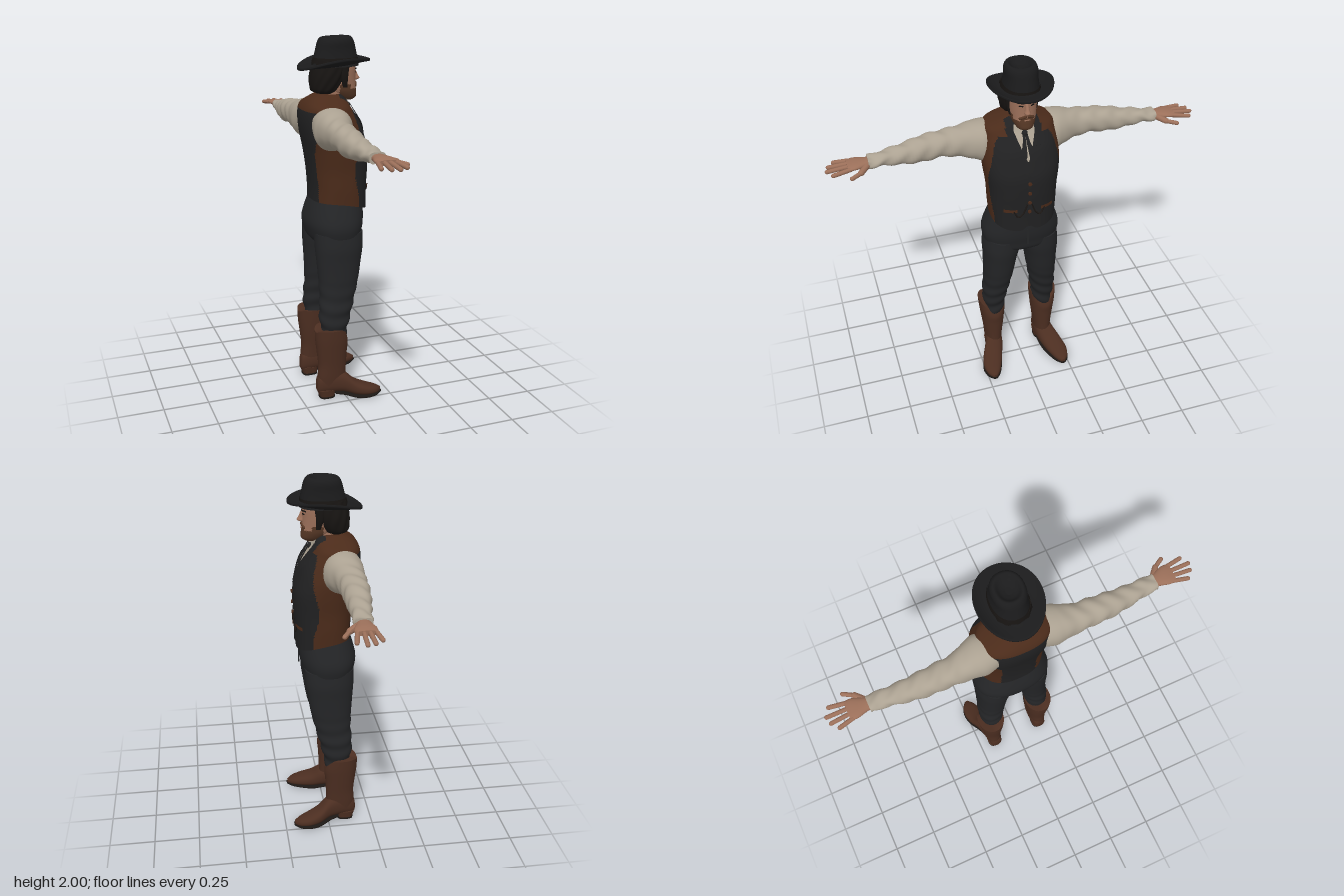
import * as THREE from 'three';

const mat = (name, color, side = THREE.FrontSide) => {
  const m = new THREE.MeshStandardMaterial({ color, side });
  m.name = name;
  return m;
};

// Smoothly resample a list of sections
function dense(secs, k) {
  const out = [], at = i => secs[Math.max(0, Math.min(secs.length - 1, i))];
  for (let i = 0; i < secs.length - 1; i++) for (let s = 0; s < k; s++) {
    const t = s / k;
    out.push(secs[i].map((b, c) => {
      const a = at(i - 1)[c], d = at(i + 1)[c], e = at(i + 2)[c];
      return b + 0.5 * t * (d - a + t * (2 * a - 5 * b + 4 * d - e + t * (3 * (b - d) + e - a)));
    }));
  }
  out.push(secs[secs.length - 1]);
  return out;
}

const PUT = { y: (t, a, b) => [a, t, b], z: (t, a, b) => [b, a, t], x: (t, a, b) => [t, b, a] };
const spow = (v, p) => Math.sign(v) * Math.abs(v) ** p;

// Loft rounded sections [t, a0, a1, b0, b1] along an axis; pick(x,y,z) chooses a material index
function loft(secs, { axis = 'y', seg = 32, k = 4, n = 2.2, caps = true, rule, pick } = {}) {
  const rows = dense(secs, k), pos = [], groups = [[], [], []];
  for (const [t, a0, a1, b0, b1] of rows) for (let j = 0; j < seg; j++) {
    const th = j / seg * Math.PI * 2;
    const a = (a0 + a1) / 2 + (a1 - a0) / 2 * spow(Math.cos(th), 2 / n);
    const b = (b0 + b1) / 2 + (b1 - b0) / 2 * spow(Math.sin(th), 2 / n);
    const p = PUT[axis](t, a, b);
    pos.push(...(rule ? rule(p, th) : p));
  }
  const tri = (...v) => {
    const c = [0, 1, 2].map(q => (pos[v[0] * 3 + q] + pos[v[1] * 3 + q] + pos[v[2] * 3 + q]) / 3);
    groups[pick ? pick(...c) : 0].push(...v);
  };
  for (let i = 0; i < rows.length - 1; i++) for (let j = 0; j < seg; j++) {
    const a = i * seg + j, b = i * seg + (j + 1) % seg;
    tri(a, a + seg, b); tri(b, a + seg, b + seg);
  }
  if (caps) for (const i of [0, rows.length - 1]) {
    const base = pos.length / 3, c = [0, 0, 0];
    for (let j = 0; j < seg; j++) for (let q = 0; q < 3; q++) {
      const v = pos[(i * seg + j) * 3 + q];
      pos.push(v); c[q] += v / seg;
    }
    pos.push(...c);
    for (let j = 0; j < seg; j++) {
      const a = base + j, b = base + (j + 1) % seg;
      i ? tri(a, base + seg, b) : tri(b, base + seg, a);
    }
  }
  const g = new THREE.BufferGeometry();
  g.setAttribute('position', new THREE.Float32BufferAttribute(pos, 3));
  g.setIndex(groups.flat());
  if (pick) groups.reduce((s, q, m) => (g.addGroup(s, q.length, m), s + q.length), 0);
  g.computeVertexNormals();
  return g;
}

// Height of a lofted body's front surface at (y, z)
function frontX(secs, y, z, n) {
  const r = dense(secs, 4);
  let i = 0;
  while (i < r.length - 2 && r[i + 1][0] < y) i++;
  const f = Math.max(0, Math.min(1, (y - r[i][0]) / (r[i + 1][0] - r[i][0])));
  const s = r[i].map((v, c) => v + (r[i + 1][c] - v) * f);
  const w = Math.min(1, Math.abs(z / s[4]));
  return (s[1] + s[2]) / 2 + (s[2] - s[1]) / 2 * (1 - w ** n) ** (1 / n);
}

// Thin cloth panel lying on a body front; rows are [y, z0, z1], from bottom to top
function panel(body, n, rows, lift) {
  const r = dense(rows, 4), w = 8, g = new THREE.PlaneGeometry(1, 1, w, r.length - 1), p = g.attributes.position;
  for (let i = 0; i < r.length; i++) for (let j = 0; j <= w; j++) {
    const [y, z0, z1] = r[r.length - 1 - i], z = z1 + (z0 - z1) * j / w;
    p.setXYZ(i * (w + 1) + j, frontX(body, y, z, n) + lift, y, z);
  }
  g.computeVertexNormals();
  return g;
}

function mirrored(geo) {
  const g = geo.clone().scale(1, 1, -1), ix = g.index;
  for (let i = 0; i < ix.count; i += 3) {
    const a = ix.getX(i);
    ix.setX(i, ix.getX(i + 1)); ix.setX(i + 1, a);
  }
  g.computeVertexNormals();
  return g;
}

// Tapered finger between two points
function finger(p, q, r) {
  const a = new THREE.Vector3(...p), b = new THREE.Vector3(...q), d = b.clone().sub(a);
  const g = new THREE.CapsuleGeometry(r, d.length() - r, 4, 10);
  g.applyQuaternion(new THREE.Quaternion().setFromUnitVectors(new THREE.Vector3(0, 1, 0), d.normalize()));
  return g.translate(...a.add(b).multiplyScalar(0.5).toArray());
}

export function createModel() {
  const root = new THREE.Group();
  const D = THREE.DoubleSide;
  const hatM = mat('hat felt', 0x1b1b1c), hairM = mat('dark hair', 0x171412), skin = mat('skin', 0x9c705a);
  const beardM = mat('beard', 0x573826), shirt = mat('shirt linen', 0xaca292, D), black = mat('vest black', 0x212122, D);
  const leather = mat('vest leather', 0x4b2b1a), trouser = mat('trouser cloth', 0x242527);
  const bootM = mat('boot leather', 0x4c2e21), sole = mat('sole', 0x1d1815);
  const add = (name, geo, m) => {
    const o = new THREE.Mesh(geo, m);
    o.name = name; root.add(o);
  };
  const pair = (name, geo, m) => { add('left ' + name, geo, m); add('right ' + name, mirrored(geo), m); };
  const box = (w, h, d, x, y, z) => new THREE.BoxGeometry(w, h, d).translate(x, y, z);
  const clamp = v => Math.max(0, Math.min(1, v));

  // Vest body: black front and back, leather sides and shoulder yoke
  const vest = [[1.115, -.14, .16, -.178, .178], [1.2, -.14, .16, -.184, .184], [1.3, -.148, .166, -.188, .188],
    [1.4, -.162, .165, -.2, .2], [1.48, -.178, .145, -.205, .205], [1.55, -.188, .122, -.197, .197],
    [1.61, -.187, .085, -.19, .19], [1.645, -.175, .062, -.178, .178], [1.675, -.15, .05, -.115, .115],
    [1.7, -.11, .03, -.07, .07]];
  const VN = 2.5;
  add('vest', loft(vest, { n: VN, seg: 96, k: 8,
    rule: ([x, y, z]) => {
      const low = clamp((1.25 - y) / .135), front = clamp((x + .1) / .26);
      return [x, y - low * (.058 * front * front - .015 - .035 * clamp(1 - Math.abs(z) / .04) * (x > 0)), z];
    },
    pick: (x, y, z) => {
      const az = Math.abs(z);
      if (y > 1.62) return x < 0 || az > .09 ? 1 : 0;
      return az > .1 && x > -.148 && x < .065 + .015 * Math.sin(y * 18) ? 1 : 0;
    } }), [black, leather]);

  // Shirt front, lapels, necktie, placket and buttons
  add('shirt front', panel(vest, VN, [[1.5, -.004, .004], [1.58, -.034, .034], [1.64, -.055, .055], [1.675, -.05, .05]], .004), shirt);
  pair('lapel', panel(vest, VN, [[1.43, 0, .012], [1.52, .012, .07], [1.57, .032, .1], [1.58, .035, .078], [1.66, .06, .1]], .009), black);
  pair('necktie end', panel(vest, VN, [[1.52, .008, .014], [1.55, .004, .032], [1.6, .001, .018], [1.64, 0, .012]], .011), black);
  add('necktie knot', new THREE.SphereGeometry(.016, 12, 8).translate(.075, 1.632, 0), black);
  add('placket', panel(vest, VN, [[1.1, -.012, .012], [1.28, -.012, .012], [1.43, -.01, .01]], .004), black);
  for (const y of [1.2, 1.26, 1.32, 1.38])
    add('button', new THREE.CylinderGeometry(.01, .01, .008, 12).rotateZ(Math.PI / 2).translate(frontX(vest, y, 0, VN) + .007, y, 0), leather);
  pair('pocket welt', panel(vest, VN, [[1.2, .065, .135], [1.22, .065, .135]], .006), leather);
  pair('watch chain', new THREE.TubeGeometry(new THREE.CatmullRomCurve3([[1.25, .012], [1.19, .035], [1.17, .06], [1.21, .085]]
    .map(([y, z]) => new THREE.Vector3(frontX(vest, y, z, VN) + .006, y, z))), 16, .004, 6), sole);

  // Sleeves with soft folds
  pair('sleeve', loft([[.13, 1.46, 1.65, -.17, .01], [.19, 1.43, 1.65, -.18, .03], [.24, 1.445, 1.642, -.175, .015], [.32, 1.462, 1.62, -.168, -.018],
    [.41, 1.475, 1.608, -.165, -.026], [.5, 1.463, 1.598, -.16, -.03], [.6, 1.47, 1.575, -.145, -.033],
    [.7, 1.486, 1.56, -.127, -.034], [.745, 1.488, 1.55, -.122, -.03], [.785, 1.49, 1.55, -.12, -.03]],
    { axis: 'z', k: 6, rule: ([x, y, z], th) => {
      const f = .004 * Math.sin(z * 62 + 2 * Math.sin(th * 2)) * clamp((z - .22) * 8);
      return [x + f * Math.sin(th), y + f * Math.cos(th), z];
    } }), shirt);

  // Hands
  pair('palm', loft([[.76, 1.498, 1.54, -.105, -.042], [.8, 1.502, 1.541, -.108, -.032], [.85, 1.508, 1.54, -.122, -.014], [.89, 1.508, 1.534, -.12, -.014]],
    { axis: 'z', seg: 20 }), skin);
  [[-.11, .87, -.128, .957], [-.083, .88, -.09, .988], [-.055, .88, -.052, .998], [-.027, .87, -.008, .972]].forEach(([x, z, x2, z2]) =>
    pair('finger', finger([x, 1.521, z], [x2, 1.512, z2], .0115), skin));
  pair('thumb', finger([-.045, 1.517, .79], [.005, 1.507, .835], .016), skin);
  pair('thumb tip', finger([0, 1.507, .83], [.034, 1.503, .885], .0115), skin);

  // Trousers
  add('trouser seat', loft([[.875, -.1, .07, -.1, .1], [.91, -.145, .118, -.19, .19], [.96, -.163, .13, -.212, .212], [1.01, -.17, .14, -.213, .213],
    [1.07, -.158, .143, -.195, .195], [1.14, -.135, .14, -.17, .17]], { n: 2.4, seg: 40 }), trouser);
  pair('trouser leg', loft([[.35, -.12, .01, .1, .2], [.42, -.13, .02, .088, .208], [.5, -.138, .04, .078, .214], [.6, -.132, .066, .06, .21],
    [.7, -.135, .09, .042, .21], [.8, -.142, .106, .026, .211], [.88, -.148, .118, .008, .214], [.96, -.15, .12, .002, .205]],
    { k: 8, rule: ([x, y, z], th) => {
      const f = .004 * Math.sin(y * 70 + 2 * Math.sin(th)) * clamp((.72 - y) * 5);
      return [x + f * Math.cos(th), y, z + f * Math.sin(th)];
    } }), trouser);
  add('trouser fly', box(.006, .1, .012, .141, 1.01, 0), trouser);

  // Boots: V-cut shaft, turned-out foot, sole and heel
  pair('boot shaft', loft([[.07, -.15, .01, .11, .2], [.13, -.154, .008, .107, .206], [.2, -.15, .01, .1, .212], [.28, -.158, .014, .09, .222],
    [.36, -.166, .018, .083, .232], [.425, -.168, .01, .079, .237]],
    { rule: ([x, y, z], th) => {
      const up = clamp((y - .28) / .145);
      return [x, y - up * (.062 * Math.max(0, Math.cos(th)) ** 4 + .02 * Math.max(0, -Math.cos(th)) ** 8), z];
    } }), bootM);
  pair('boot foot', loft([[-.16, .135, .172, .045, .1], [-.145, .118, .188, .03, .14], [-.08, .106, .204, .028, .165], [-.01, .112, .222, .026, .15],
    [.05, .132, .25, .012, .1], [.11, .153, .263, .008, .073], [.165, .178, .252, .009, .055], [.198, .205, .225, .014, .038]],
    { axis: 'x', n: 2.4 }), bootM);
  pair('boot sole', loft([[-.06, .118, .2, .022, .034], [-.01, .12, .22, .016, .03], [.05, .132, .252, .002, .02], [.11, .152, .266, 0, .017],
    [.165, .176, .255, .002, .018], [.202, .203, .227, .01, .022]], { axis: 'x', n: 4 }), sole);
  pair('boot heel', loft([[.008, -.145, -.06, .118, .192], [.05, -.158, -.05, .112, .198]], { n: 3, k: 1 }), bootM);
  pair('heel tip', loft([[0, -.147, -.058, .116, .194], [.01, -.147, -.058, .116, .194]], { n: 3, k: 1 }), sole);

  // Neck and open collar
  add('neck', loft([[1.6, -.08, .05, -.06, .06], [1.66, -.07, .056, -.054, .054], [1.73, -.06, .06, -.053, .053]]), skin);
  add('collar', loft([[1.645, -.105, .065, -.08, .08], [1.668, -.1, .07, -.076, .076], [1.69, -.095, .062, -.068, .068]],
    { caps: false, rule: ([x, y, z], th) => [x, y - .035 * clamp((x + .08) / .15) + .012 * clamp((y - 1.645) / .03) * Math.abs(Math.sin(th)), z] }), shirt);

  // Head: skin above, beard on the jaw and lip
  const head = [[1.664, .035, .1, -.03, .03], [1.68, 0, .12, -.046, .046], [1.71, -.04, .12, -.061, .061], [1.74, -.06, .116, -.067, .067],
    [1.79, -.08, .114, -.074, .074], [1.84, -.09, .115, -.077, .077], [1.89, -.09, .11, -.074, .074]];
  add('head', loft(head, { seg: 64, k: 8, pick: (x, y, z) => x > .01 && y < 1.742 + .4 * Math.max(0, Math.abs(z) - .045)
    && !(Math.abs(z) > .034 && x > .07 && y > 1.725) ? 1 : 0 }), [skin, beardM]);
  add('nose', loft([[1.764, .095, .122, -.012, .012], [1.774, .095, .142, -.017, .017], [1.79, .095, .134, -.012, .012], [1.825, .095, .117, -.009, .009]], { seg: 16 }), skin);
  pair('moustache', finger([.117, 1.752, .006], [.104, 1.738, .036], .008), beardM);
  add('mouth', box(.004, .005, .03, .119, 1.731, 0), skin);
  pair('eye', panel(head, 2.2, [[1.807, .022, .036], [1.811, .018, .042], [1.815, .022, .036]], .003), hairM);
  pair('eyebrow', panel(head, 2.2, [[1.825, .014, .05], [1.833, .016, .052]], .005), hairM);

  // Hair with wavy ends
  add('hair', loft([[1.705, -.105, -.02, -.062, .062], [1.72, -.128, .005, -.083, .083], [1.76, -.134, .032, -.096, .096],
    [1.81, -.13, .046, -.1, .1], [1.88, -.115, .06, -.09, .09]],
    { seg: 48, rule: ([x, y, z], th) => {
      const f = 1 + .025 * Math.sin(th * 11 + y * 60);
      return [-.04 + (x + .04) * f, y, z * f];
    } }), hairM);
  pair('sideburn', loft([[1.735, .025, .05, .058, .071], [1.79, .01, .05, .065, .085], [1.86, 0, .06, .06, .086]], { seg: 14 }), hairM);

  // Hat: creased crown, band and curled brim
  add('hat crown', loft([[1.845, -.125, .13, -.1, .1], [1.88, -.115, .126, -.09, .09], [1.93, -.102, .115, -.083, .083], [1.97, -.092, .104, -.083, .083],
    [1.992, -.08, .09, -.074, .074], [1.996, -.065, .074, -.06, .06], [1.978, -.045, .05, -.04, .04], [1.968, -.02, .02, -.015, .015]],
    { rule: ([x, y, z]) => [x, y + .04 * (x - .04) * clamp((y - 1.93) * 20), z] }), hatM);
  add('hat band', loft([[1.862, -.123, .131, -.098, .098], [1.89, -.115, .126, -.091, .091]], { k: 1, caps: false }), hairM);
  const brim = [[.0, -.004], [.35, -.007], [.7, -.007], [.97, -.007], [1, 0], [.97, .007], [.7, .006], [.35, .006], [0, .008]]
    .map(([f, dy]) => [dy, -.115 - .085 * f, .12 + .072 * f, -.088 - .078 * f, .088 + .078 * f]);
  add('hat brim', loft(brim, { seg: 64, k: 3, n: 2, caps: false, rule: ([x, y, z], th) => {
    const f = clamp((Math.hypot(x / .196, z / .166) - .55) / .45);
    return [x, 1.857 + y + .1 * x + f * f * (.036 * Math.sin(th) ** 2 - .004), z];
  } }), hatM);

  return root;
}
